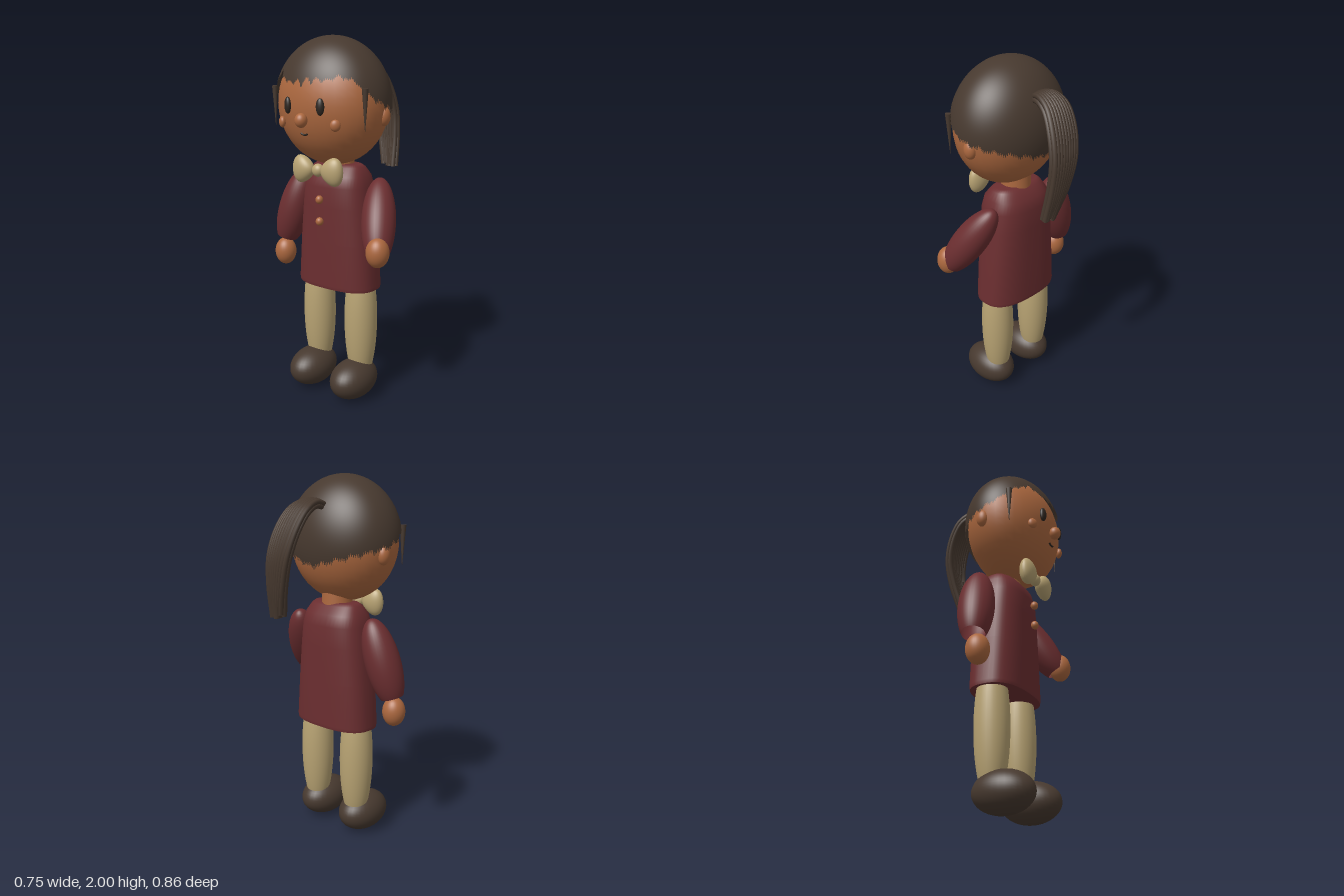
import * as THREE from 'three';

const flat = (name, color, side = THREE.FrontSide) => {
  const m = new THREE.MeshStandardMaterial({ color, side });
  m.name = name;
  return m;
};

// Superellipse loft through rings of [y, halfWidth, halfDepth]
function loft(rings, n = 48, p = 2.6) {
  const pos = [], idx = [];
  const se = v => Math.sign(v) * Math.abs(v) ** (2 / p);
  rings.forEach(([y, w, d]) => {
    for (let j = 0; j < n; j++) {
      const a = j / n * Math.PI * 2;
      pos.push(w * se(Math.cos(a)), y, d * se(Math.sin(a)));
    }
  });
  for (let i = 0; i < rings.length - 1; i++) for (let j = 0; j < n; j++) {
    const a = i * n + j, b = i * n + (j + 1) % n;
    idx.push(a, a + n, b, b, a + n, b + n);
  }
  const g = new THREE.BufferGeometry();
  g.setAttribute('position', new THREE.Float32BufferAttribute(pos, 3));
  g.setIndex(idx);
  g.computeVertexNormals();
  return g;
}

// Height of the hair's lower edge at an angle from the face direction
const HEM = [[0, 1.75], [38, 1.8], [55, 1.76], [75, 1.67], [96, 1.63], [140, 1.58], [181, 1.52]];
function hemHeight(phi) {
  const d = Math.abs(phi) * 180 / Math.PI;
  let i = 0;
  while (d > HEM[i + 1][0]) i++;
  const [a, ya] = HEM[i], [b, yb] = HEM[i + 1];
  const y = ya + (yb - ya) * (d - a) / (b - a);
  const tooth = Math.abs(Math.sin(phi * 17)) * (0.6 + 0.4 * Math.sin(phi * 7 + 1));
  return y + (d < 45 ? 0.045 * (tooth - 0.4) : 0.008 * Math.sin(phi * 23) + 0.005 * Math.sin(phi * 51));
}

// Dome of hair whose rows stop at the hem
function hairCap(cy, rx, ry, rz) {
  const g = new THREE.SphereGeometry(1, 200, 28);
  const p = g.attributes.position, uv = g.attributes.uv, v = new THREE.Vector3();
  for (let i = 0; i < p.count; i++) {
    const u = uv.getX(i) * Math.PI * 2, row = Math.floor(i / 201) / 28;
    const x = -Math.cos(u), z = Math.sin(u);
    const th = row * Math.acos((hemHeight(Math.atan2(x, z)) - cy) / ry);
    v.set(x * Math.sin(th), Math.cos(th), z * Math.sin(th));
    p.setXYZ(i, v.x, v.y, v.z);
    g.attributes.normal.setXYZ(i, v.x, v.y, v.z);
  }
  return g.scale(rx, ry, rz).translate(0, cy, 0);
}

export function createModel() {
  const skin = flat('skin', 0xac683f);
  const coat = flat('coat', 0x6b2e30, THREE.DoubleSide);
  const cream = flat('cream', 0xb8a373);
  const brown = flat('dark brown', 0x47392f, THREE.DoubleSide);
  const dark = flat('eye dark', 0x2e2620);

  const root = new THREE.Group();
  const body = new THREE.Group();
  body.name = 'body';
  body.position.set(-0.045, 0, -0.03);
  body.rotation.y = -1.148;
  const head = new THREE.Group();
  head.name = 'head';
  head.position.set(0, 0, 0.054);
  body.add(head);
  root.add(body);

  const add = (parent, name, geo, mat, x = 0, y = 0, z = 0) => {
    const m = new THREE.Mesh(geo, mat);
    m.name = name;
    m.position.set(x, y, z);
    parent.add(m);
    return m;
  };
  const ball = (parent, name, mat, [x, y, z], [rx, ry, rz]) =>
    add(parent, name, new THREE.SphereGeometry(1, 32, 24).scale(rx, ry, rz), mat, x, y, z);

  // Coat and neck
  add(body, 'coat', loft([
    [0.64, 0, 0], [0.64, 0.246, 0.142], [0.64, 0.246, 0.142], [0.66, 0.248, 0.146], [0.9, 0.23, 0.145],
    [1.1, 0.21, 0.144], [1.21, 0.196, 0.141], [1.27, 0.182, 0.125], [1.315, 0.155, 0.088], [1.33, 0.135, 0.066], [1.33, 0, 0]
  ]), coat);
  add(body, 'neck', new THREE.CylinderGeometry(0.08, 0.085, 0.16, 32), skin, 0, 1.37, 0);
  for (const y of [1.15, 1.03]) ball(body, 'button', skin, [0, y, 0.178], [0.021, 0.023, 0.021]);

  // Bow, legs and shoes
  ball(body, 'bowKnot', cream, [0, 1.31, 0.185], [0.035, 0.035, 0.03]);
  for (const s of [1, -1]) {
    const lobe = new THREE.SphereGeometry(1, 32, 24), p = lobe.attributes.position;
    for (let i = 0; i < p.count; i++) p.setY(i, p.getY(i) * (0.85 + 0.25 * s * p.getX(i)));
    lobe.scale(0.068, 0.085, 0.042);
    lobe.computeVertexNormals();
    add(body, 'bowLobe', lobe, cream, s * 0.095, 1.31, 0.19);
    ball(body, 'leg', cream, [s * 0.148, 0.45, 0], [0.093, 0.395, 0.093]);
    ball(body, 'shoe', brown, [s * 0.148, 0.11, 0.066], [0.117, 0.11, 0.166]);
  }

  // Arms and hands, posed unevenly
  const arm = (name, c, d, r, len, hand) => {
    const g = new THREE.SphereGeometry(1, 32, 24, 0, Math.PI * 2, 0, Math.PI * 0.78).scale(r, len, r);
    const m = add(root, name, g, coat, ...c);
    const axis = new THREE.Vector3(...d).normalize();
    m.quaternion.setFromUnitVectors(new THREE.Vector3(0, 1, 0), axis.clone().negate());
    ball(root, name + 'Hand', skin, hand, [0.062, 0.08, 0.062]);
  };
  arm('leftArm', [0.03, 1.05, 0.262], [-0.32, -0.82, 0.47], 0.092, 0.25, [-0.04, 0.915, 0.368]);
  arm('rightArm', [-0.178, 1.035, -0.325], [-0.2, -0.95, -0.22], 0.096, 0.245, [-0.235, 0.77, -0.352]);

  // Head and face
  ball(head, 'face', skin, [0, 1.65, 0], [0.318, 0.322, 0.25]);
  ball(head, 'nose', skin, [0, 1.58, 0.262], [0.033, 0.037, 0.033]);
  const smile = new THREE.TorusGeometry(0.035, 0.005, 8, 16, 1.4);
  add(head, 'mouth', smile, dark, 0, 1.54, 0.236).rotation.z = -Math.PI / 2 - 0.7;
  for (const s of [1, -1]) {
    ball(head, 'eye', dark, [s * 0.106, 1.65, 0.24], [0.022, 0.043, 0.016]).rotation.y = s * 0.3;
    ball(head, 'cheek', skin, [s * 0.175, 1.56, 0.207], [0.027, 0.03, 0.018]).rotation.y = s * 0.65;
    ball(head, 'ear', skin, [s * 0.3, 1.595, -0.038], [0.032, 0.05, 0.036]);
    // Loose lock beside the face
    const lock = add(head, 'sideLock', new THREE.ConeGeometry(0.017, 0.22, 12), brown, s * 0.297, 1.63, 0.125);
    lock.rotation.x = Math.PI;
  }
  add(head, 'hair', hairCap(1.655, 0.333, 0.345, 0.268), brown);

  // Ponytail made of side by side strands that spread and gather again
  const tail = new THREE.Group();
  tail.name = 'ponytail';
  root.add(tail);
  const spine = [
    [0.06, 1.84, -0.095, 0.035], [0.14, 1.868, -0.115, 0.05], [0.22, 1.835, -0.14, 0.065], [0.29, 1.74, -0.15, 0.073],
    [0.338, 1.6, -0.145, 0.07], [0.345, 1.45, -0.12, 0.055], [0.328, 1.285, -0.08, 0.035]
  ];
  for (let layer = 0; layer < 2; layer++) for (let k = -4; k <= 4; k++) {
    const t = (k + layer * 0.5) / 4;
    const pts = spine.map(([x, y, z, w], i) => {
      const drop = layer * 0.022 + 0.008 * t * t;
      const a = Math.min(1, i / 5) * Math.PI / 2;
      return new THREE.Vector3(x + t * w * 0.35 - drop * Math.sin(a),
        y - drop * Math.cos(a) - (i === 6 ? 0.012 * Math.sin(k * 5 + layer) : 0), z + t * w * 0.9);
    });
    add(tail, 'strand', new THREE.TubeGeometry(new THREE.CatmullRomCurve3(pts), 36, 0.015, 8), brown);
  }
  return root;
}
